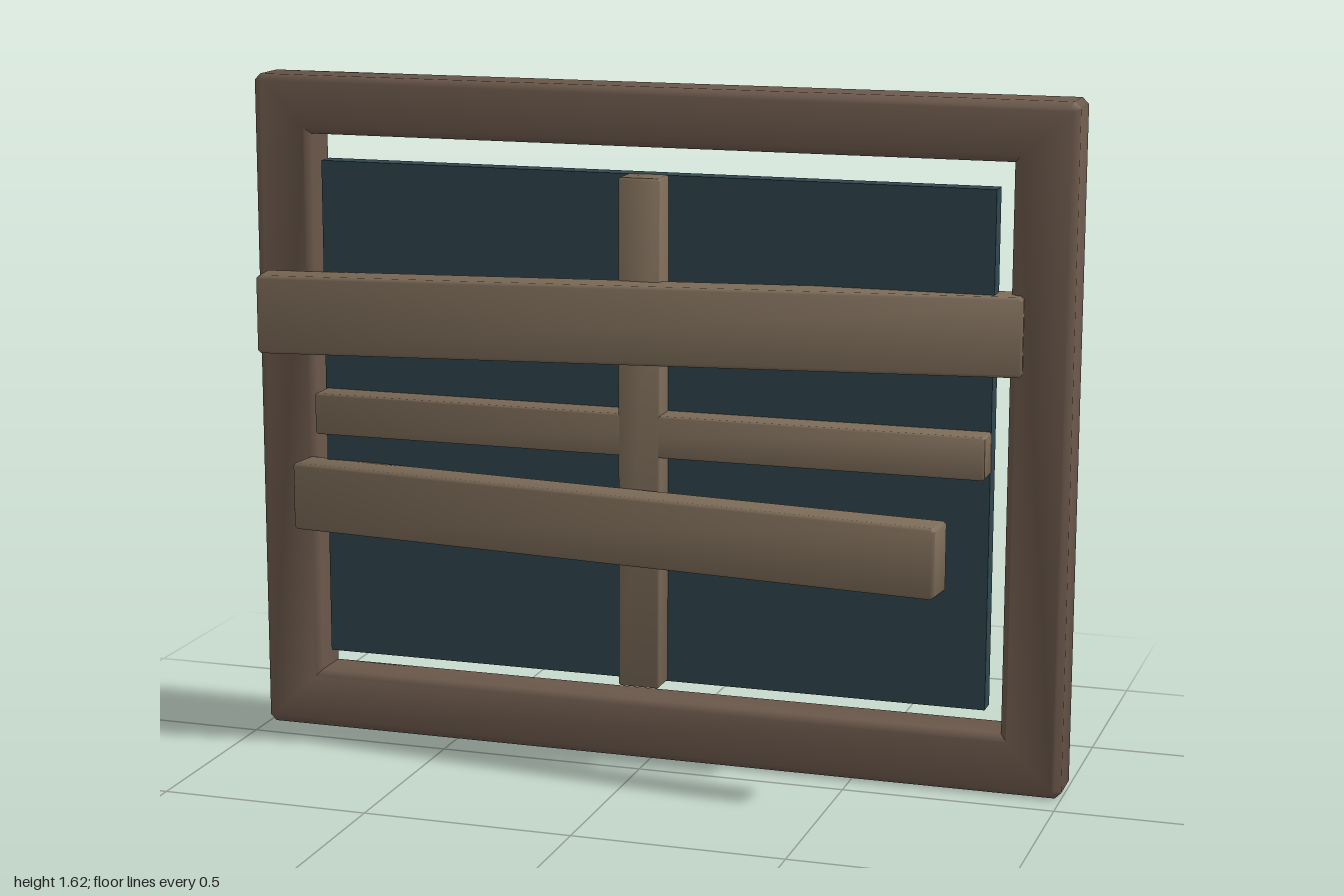
import * as THREE from 'three';
import { toCreasedNormals } from 'three/addons/utils/BufferGeometryUtils.js';

const frameWood = new THREE.MeshStandardMaterial({ color: 0x6b584b });
const plankWood = new THREE.MeshStandardMaterial({ color: 0x7b6a57 });
const glass = new THREE.MeshStandardMaterial({ color: 0x30464e });

// Rectangle outline with corners cut by c
function cutRect(w, h, c, Type = THREE.Shape) {
  const x = w / 2, y = h / 2;
  const points = [
    [x - c, -y], [x, -y + c], [x, y - c], [x - c, y],
    [-x + c, y], [-x, y - c], [-x, -y + c], [-x + c, -y],
  ];
  return new Type(points.map(([px, py]) => new THREE.Vector2(px, py)));
}

// Extrude a centred outline to depth d with chamfered, softly shaded edges
function chamferedSolid(shape, d, b) {
  const geometry = new THREE.ExtrudeGeometry(shape, {
    depth: d - 2 * b, bevelEnabled: true, bevelThickness: b,
    bevelSize: b, bevelOffset: -b, bevelSegments: 1,
  });
  geometry.translate(0, 0, b - d / 2);
  return toCreasedNormals(geometry, 1);
}

export function createModel() {
  const model = new THREE.Group();

  function add(name, geometry, material, x, y, z, turn = 0) {
    const mesh = new THREE.Mesh(geometry, material);
    mesh.name = name;
    mesh.position.set(x, y, z);
    mesh.rotation.y = turn;
    model.add(mesh);
  }
  const beam = (w, h, d, b) => chamferedSolid(cutRect(w, h, b), d, b);

  // Outer window frame
  const outline = cutRect(2, 1.62, 0.015);
  const opening = new THREE.Path();
  opening.moveTo(-0.855, -0.665).lineTo(-0.855, 0.67).lineTo(0.855, 0.67).lineTo(0.855, -0.665).closePath();
  outline.holes.push(opening);
  add('windowFrame', chamferedSolid(outline, 0.125, 0.015), frameWood, 0, 0.81, -0.1375);

  // Dark pane, set inside the opening
  add('pane', new THREE.BoxGeometry(1.64, 1.215, 0.05), glass, 0, 0.8125, -0.09);

  // Crossed glazing bars
  add('verticalBar', beam(0.1, 1.215, 0.08, 0.004), plankWood, 0, 0.8125, -0.034);
  add('horizontalBar', beam(1.64, 0.1, 0.08, 0.004), plankWood, 0, 0.815, -0.035);

  // Boards nailed askew across the window
  add('upperPlank', beam(1.785, 0.185, 0.09, 0.007), plankWood, 0, 1.0875, 0.03, 0.1415);
  add('lowerPlank', beam(1.64, 0.165, 0.09, 0.007), plankWood, -0.065, 0.605, 0.042, -0.105);

  return model;
}
